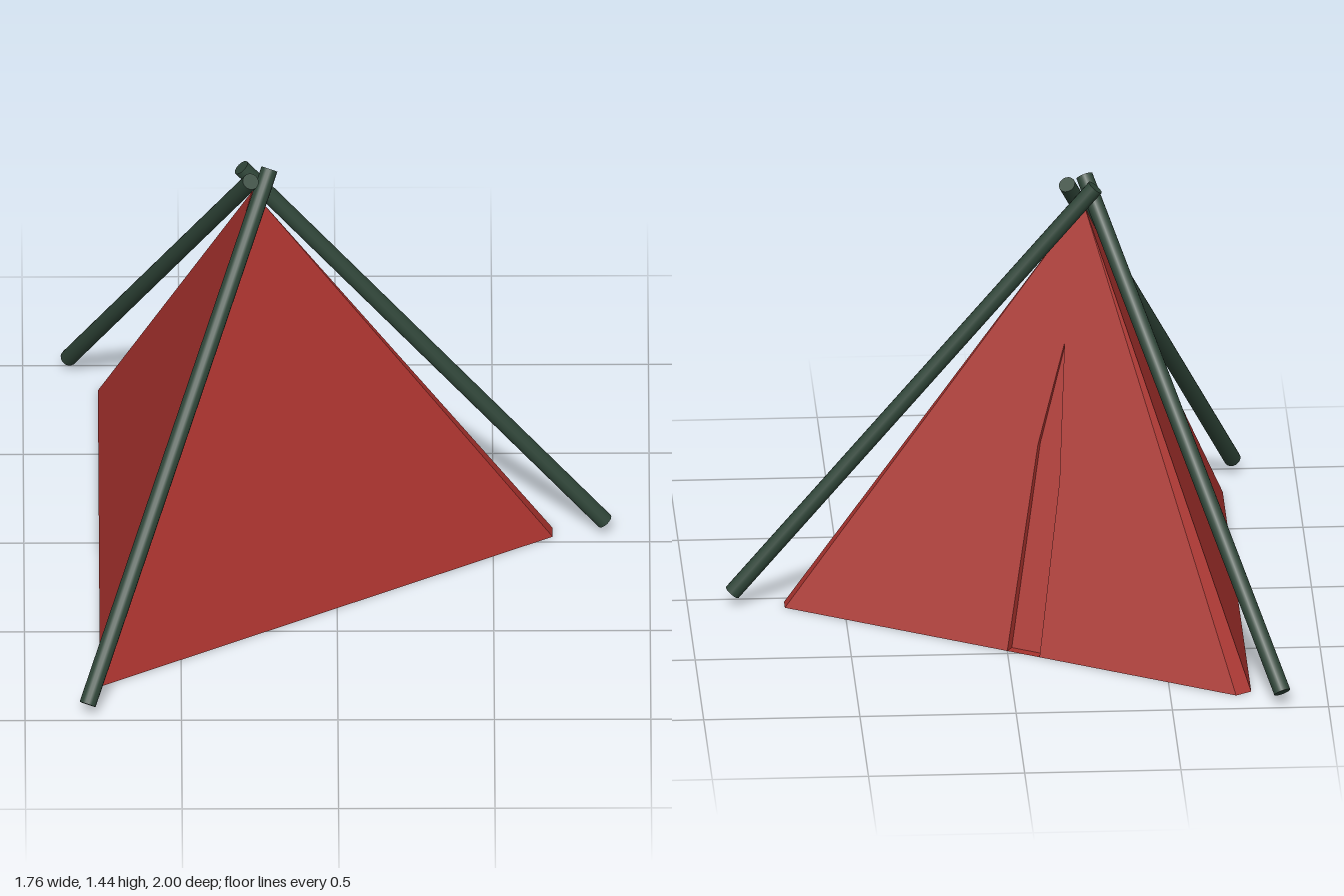
import * as THREE from 'three';

const V = (x, y, z) => new THREE.Vector3(x, y, z);

// Flat polygons (corners counter-clockwise from outside) joined into one faceted geometry
function facets(polygons) {
  const points = [];
  for (const poly of polygons) {
    for (let i = 1; i < poly.length - 1; i++) points.push(poly[0], poly[i], poly[i + 1]);
  }
  const geometry = new THREE.BufferGeometry().setFromPoints(points);
  geometry.computeVertexNormals();
  return geometry;
}

// Splits a concave polygon facing -z into triangles
function triangulateBack(poly) {
  const outline = poly.map((p) => new THREE.Vector2(-p.x, p.y));
  return THREE.ShapeUtils.triangulateShape(outline, []).map((t) => t.map((i) => poly[i]));
}

export function createModel() {
  const model = new THREE.Group();
  const red = new THREE.MeshStandardMaterial({ color: 0xa8322d, side: THREE.DoubleSide, flatShading: true });
  const green = new THREE.MeshStandardMaterial({ color: 0x2f4538 });

  const add = (name, geometry, material) => {
    const mesh = new THREE.Mesh(geometry, material);
    mesh.name = name;
    model.add(mesh);
    return mesh;
  };

  // Corners of the three-sided tent; the back panel stands slightly proud
  const apex = V(-0.27, 1.35, -0.02);
  const front = V(-0.76, 0, 0.81);
  const right = V(0.69, 0, -0.03), rightOuter = V(0.69, 0, -0.08);
  const back = V(-0.76, 0, -0.86), backOuter = V(-0.71, 0, -0.89);

  add('tentWalls', facets([
    [front, right, apex],
    [back, front, apex],
    [apex, backOuter, back],
    [apex, right, rightOuter],
  ]), red);
  add('tentFloor', facets([[front, back, backOuter, rightOuter, right]]), red);

  // Door slit outline, projected onto the sloping back panel
  const plane = new THREE.Plane().setFromCoplanarPoints(apex, rightOuter, backOuter);
  const onPanel = ([x, z]) =>
    V(x, -(plane.normal.x * x + plane.normal.z * z + plane.constant) / plane.normal.y, z);
  const onHem = (x) => rightOuter.clone().lerp(backOuter, (0.69 - x) / 1.4);
  const slit = [
    onHem(0), ...[[-0.11, -0.26], [-0.2, -0.17], [-0.175, -0.34]].map(onPanel), onHem(-0.1),
  ];
  add('doorPanel', facets(triangulateBack([apex, rightOuter, ...slit, backOuter])), red);

  // Recess behind the slit, shallower toward the peak
  const inner = slit.map((p) => {
    const depth = 0.032 * (1 - p.y / apex.y);
    return V(p.x - 0.5 * depth, p.y, p.z + 0.866 * depth);
  });
  const rims = slit.slice(1).map((p, i) => [slit[i], inner[i], inner[i + 1], p]);
  add('doorRecess', facets([...rims, ...triangulateBack([...inner].reverse())]), red);

  // Three poles crossing at the peak
  const poles = [
    ['rightPole', V(0.857, 0.045, -0.052), V(-0.305, 1.42, -0.052)],
    ['frontPole', V(-0.8, 0.045, 0.975), V(-0.215, 1.425, -0.035)],
    ['backPole', V(-0.853, 0.045, -0.98), V(-0.275, 1.425, 0.035)],
  ];
  for (const [name, foot, top] of poles) {
    const axis = top.clone().sub(foot);
    const pole = add(name, new THREE.CylinderGeometry(0.027, 0.027, axis.length(), 16), green);
    pole.position.copy(foot).add(top).multiplyScalar(0.5);
    pole.quaternion.setFromUnitVectors(V(0, 1, 0), axis.normalize());
  }
  return model;
}
